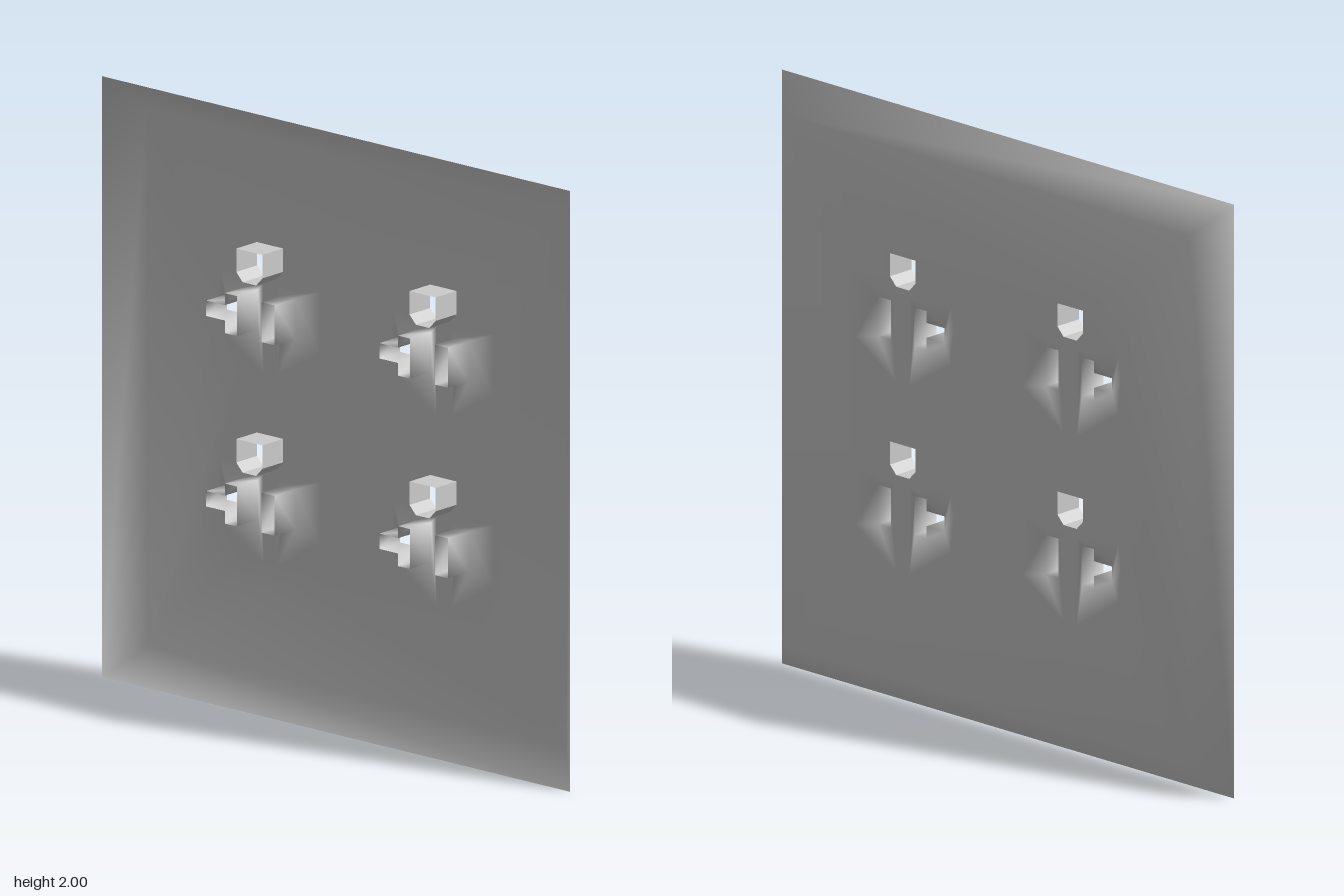
import * as THREE from 'three';
import { mergeVertices } from 'three/addons/utils/BufferGeometryUtils.js';

const FACE = -0.05, RIM = 0.05; // outer face and open rim, along z

const vectors = (pairs) => pairs.map(([x, y]) => new THREE.Vector2(x, y));
const shift = (pts, dx, dy) => pts.map((p) => new THREE.Vector2(p.x + dx, p.y + dy));
const square = (r) => vectors([[-r, 1 - r], [r, 1 - r], [r, 1 + r], [-r, 1 + r]]);

// Outlines run counter-clockwise, relative to the centre of one outlet
const outlineLeft = vectors([[-0.03, 0.09], [-0.215, 0.11], [-0.225, 0.03], [-0.21, -0.09], [-0.14, -0.205], [-0.03, -0.205]]);
const outlineRight = outlineLeft.map((p) => new THREE.Vector2(-p.x, p.y)).reverse();
const teeSlot = vectors([[-0.185, -0.024], [-0.105, -0.024], [-0.105, -0.066], [-0.053, -0.066],
  [-0.053, 0.067], [-0.105, 0.067], [-0.105, 0.027], [-0.185, 0.027]]);
const straightSlot = vectors([[0.052, -0.066], [0.108, -0.066], [0.108, 0.067], [0.052, 0.067]]);
const groundHole = vectors([[-0.029, 0.118], [0.029, 0.118], [0.056, 0.147], [0.056, 0.225], [-0.056, 0.225], [-0.056, 0.147]]);

// Flat sheet on the outer face, facing backwards, with holes
function addSheet(out, outline, holes) {
  const cut = holes.map((h) => [...h].reverse());
  const pts = [outline, ...cut].flat();
  for (const [a, b, c] of THREE.ShapeUtils.triangulateShape(outline, cut)) {
    for (const i of [a, c, b]) out.push(pts[i].x, pts[i].y, FACE);
  }
}

// Band of quads from a loop on the outer face to a loop at the rim
function addBand(out, near, far, inward) {
  near.forEach((p, i) => {
    const j = (i + 1) % near.length;
    const a = [p.x, p.y, FACE], b = [near[j].x, near[j].y, FACE];
    const c = [far[j].x, far[j].y, RIM], d = [far[i].x, far[i].y, RIM];
    const quad = inward ? [a, c, b, a, d, c] : [a, b, c, a, c, d];
    out.push(...quad.flat());
  });
}

const material = new THREE.MeshStandardMaterial({ color: 0xcccccc, side: THREE.DoubleSide });

function makeMesh(name, positions, smooth) {
  let geometry = new THREE.BufferGeometry();
  geometry.setAttribute('position', new THREE.Float32BufferAttribute(positions, 3));
  if (smooth) geometry = mergeVertices(geometry);
  geometry.computeVertexNormals();
  const mesh = new THREE.Mesh(geometry, material);
  mesh.name = name;
  return mesh;
}

export function createModel() {
  const group = new THREE.Group();
  group.name = 'wallPlate';
  const plateHoles = [];

  // Two by two outlets
  for (const y of [1.311, 0.677]) {
    for (const x of [-0.37, 0.37]) {
      const outlet = new THREE.Group();
      outlet.name = 'outlet';

      // Slot halves: a softly shaded face with slot walls running to the rim
      for (const [name, outline, slot] of [['teeSlot', outlineLeft, teeSlot], ['straightSlot', outlineRight, straightSlot]]) {
        const edge = shift(outline, x, y), hole = shift(slot, x, y);
        const positions = [];
        addSheet(positions, edge, [hole]);
        addBand(positions, hole, hole, true);
        outlet.add(makeMesh(name, positions, true));
        plateHoles.push(edge);
      }

      // Ground socket walls
      const ground = shift(groundHole, x, y);
      const walls = [];
      addBand(walls, ground, ground, true);
      outlet.add(makeMesh('groundSocket', walls, false));
      plateHoles.push(ground);
      group.add(outlet);
    }
  }

  // Open pan: flat outer face with bevelled sides widening to the rim
  const plate = [];
  addSheet(plate, square(0.895), plateHoles);
  addBand(plate, square(0.895), square(1), false);
  group.add(makeMesh('plate', plate, true));
  return group;
}
